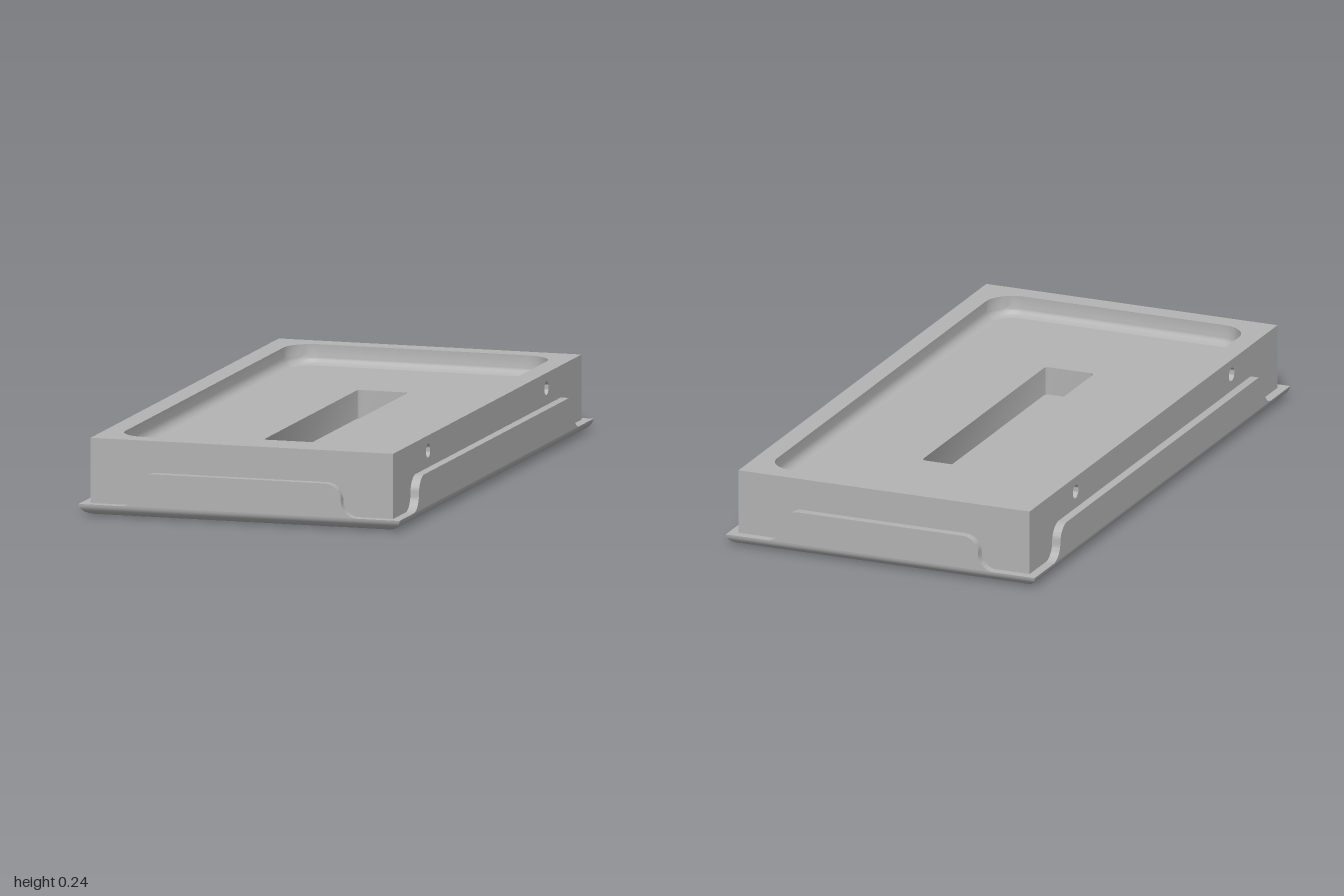
import * as THREE from 'three';
import { toCreasedNormals } from 'three/addons/utils/BufferGeometryUtils.js';

const TRAY = { x: 0.525, z: 1.0 };
const WALL = 0.03, LIP = 0.037, TAB_TOP = 0.143;
const BLOCK = { x: TRAY.x - WALL, z: TRAY.z - WALL };
const TOP = 0.243, FLOOR = 0.18, SLOT_FLOOR = 0.09;

// Outline of a rectangle (half sizes) with rounded corners, counter-clockwise
function outline(hx, hz, r = 0, n = 8) {
  const pts = [];
  [[1, 1], [-1, 1], [-1, -1], [1, -1]].forEach(([sx, sz], k) => {
    const steps = r ? n : 0;
    for (let i = 0; i <= steps; i++) {
      const a = (k + (steps ? i / steps : 0)) * Math.PI / 2;
      pts.push(new THREE.Vector2(sx * (hx - r) + r * Math.cos(a), sz * (hz - r) + r * Math.sin(a)));
    }
  });
  return pts;
}

// Skin between stacked outlines: rising rings face out, falling rings face in
function loft(rings) {
  const pos = [], idx = [], n = rings[0].pts.length;
  for (const { pts, y } of rings) for (const p of pts) pos.push(p.x, y, -p.y);
  for (let i = 0; i < rings.length - 1; i++) {
    for (let j = 0; j < n; j++) {
      const k = (j + 1) % n;
      const a = i * n + j, b = i * n + k, c = a + n, d = b + n;
      idx.push(a, b, d, a, d, c);
    }
  }
  const g = new THREE.BufferGeometry();
  g.setAttribute('position', new THREE.Float32BufferAttribute(pos, 3));
  g.setIndex(idx);
  return toCreasedNormals(g, 0.6);
}

// Horizontal face, optionally with a hole
function flat(pts, y, hole, up = true) {
  const s = new THREE.Shape(pts);
  if (hole) s.holes.push(new THREE.Path(hole));
  return new THREE.ShapeGeometry(s).rotateX(up ? -Math.PI / 2 : Math.PI / 2).translate(0, y, 0);
}

// Raised wall tab with S-curved ends; half is its half-width at the top
function tabGeometry(half, depth) {
  const r = (TAB_TOP - LIP) / 2, mid = LIP + r, s = new THREE.Shape();
  const b = half + 2 * r;
  s.moveTo(-b, LIP);
  s.lineTo(b, LIP);
  s.absarc(b, mid, r, -Math.PI / 2, -Math.PI, true);
  s.absarc(half, mid, r, 0, Math.PI / 2, false);
  s.lineTo(-half, TAB_TOP);
  s.absarc(-half, mid, r, Math.PI / 2, Math.PI, false);
  s.absarc(-b, mid, r, 0, -Math.PI / 2, true);
  const g = new THREE.ExtrudeGeometry(s, { depth, bevelEnabled: false, curveSegments: 10 });
  return toCreasedNormals(g, 0.6);
}

export function createModel() {
  const model = new THREE.Group();
  const grey = new THREE.MeshStandardMaterial({ color: 0xb3b3b3 });
  grey.name = 'grey';
  const add = (name, geometry, parent = model) => {
    const m = new THREE.Mesh(geometry, grey);
    m.name = name;
    parent.add(m);
    return m;
  };

  // Tray base: flat underside with curved, mitred edges and a thin lip
  const trayRings = [];
  for (let i = 0; i <= 10; i++) {
    const a = i / 10 * Math.PI / 2, inset = 0.055 * (1 - Math.sin(a));
    trayRings.push({ pts: outline(TRAY.x - inset, TRAY.z - inset), y: LIP * (1 - Math.cos(a)) });
  }
  trayRings.push({ pts: outline(BLOCK.x - 0.005, BLOCK.z - 0.005), y: LIP });
  add('trayEdge', loft(trayRings));
  add('trayBottom', flat(trayRings[0].pts, 0, null, false));

  // Four sides: wall tab on the tray and face of the block
  for (let k = 0; k < 4; k++) {
    const isLong = k % 2 === 1;
    const side = new THREE.Group();
    side.name = isLong ? 'longSide' : 'shortSide';
    side.rotation.y = k * Math.PI / 2;
    model.add(side);
    const out = isLong ? BLOCK.x : BLOCK.z;
    const half = isLong ? BLOCK.z : BLOCK.x;

    const tab = add('wallTab', tabGeometry(isLong ? 0.745 : 0.28, WALL - 0.002), side);
    tab.position.z = out + 0.002;

    const face = new THREE.Shape([
      new THREE.Vector2(-half, 0.03), new THREE.Vector2(half, 0.03),
      new THREE.Vector2(half, TOP), new THREE.Vector2(-half, TOP),
    ]);
    if (isLong) {
      // Small round holes near the top of the long sides
      for (const u of [-0.61, 0.61]) {
        face.holes.push(new THREE.Path().absarc(u, 0.195, 0.022, 0, Math.PI * 2, true));
        const bore = new THREE.LatheGeometry([
          new THREE.Vector2(0.022, 0), new THREE.Vector2(0.022, -0.04), new THREE.Vector2(0, -0.04),
        ], 24).rotateX(Math.PI / 2);
        add('sideHole', toCreasedNormals(bore, 0.6), side).position.set(u, 0.195, out);
      }
    }
    add('blockFace', new THREE.ShapeGeometry(face, 24), side).position.z = out;
  }

  // Block rim around the recess
  const R = { x: 0.43, z: 0.905, r: 0.09, fillet: 0.03 };
  add('blockRim', flat(outline(BLOCK.x, BLOCK.z), TOP, outline(R.x, R.z, R.r)));

  // Recess wall with a filleted foot
  const recess = [{ pts: outline(R.x, R.z, R.r), y: TOP }];
  for (let i = 0; i <= 6; i++) {
    const a = i / 6 * Math.PI / 2, inset = R.fillet * (1 - Math.cos(a));
    recess.push({
      pts: outline(R.x - inset, R.z - inset, R.r - inset),
      y: FLOOR + R.fillet * (1 - Math.sin(a)),
    });
  }
  add('recessWall', loft(recess));

  // Recess floor and the long slot in its middle
  const slot = outline(0.083, 0.485, 0.014, 4);
  add('recessFloor', flat(recess.at(-1).pts, FLOOR, slot));
  add('slotWall', loft([{ pts: slot, y: FLOOR }, { pts: slot, y: SLOT_FLOOR }]));
  add('slotFloor', flat(slot, SLOT_FLOOR));

  return model;
}
